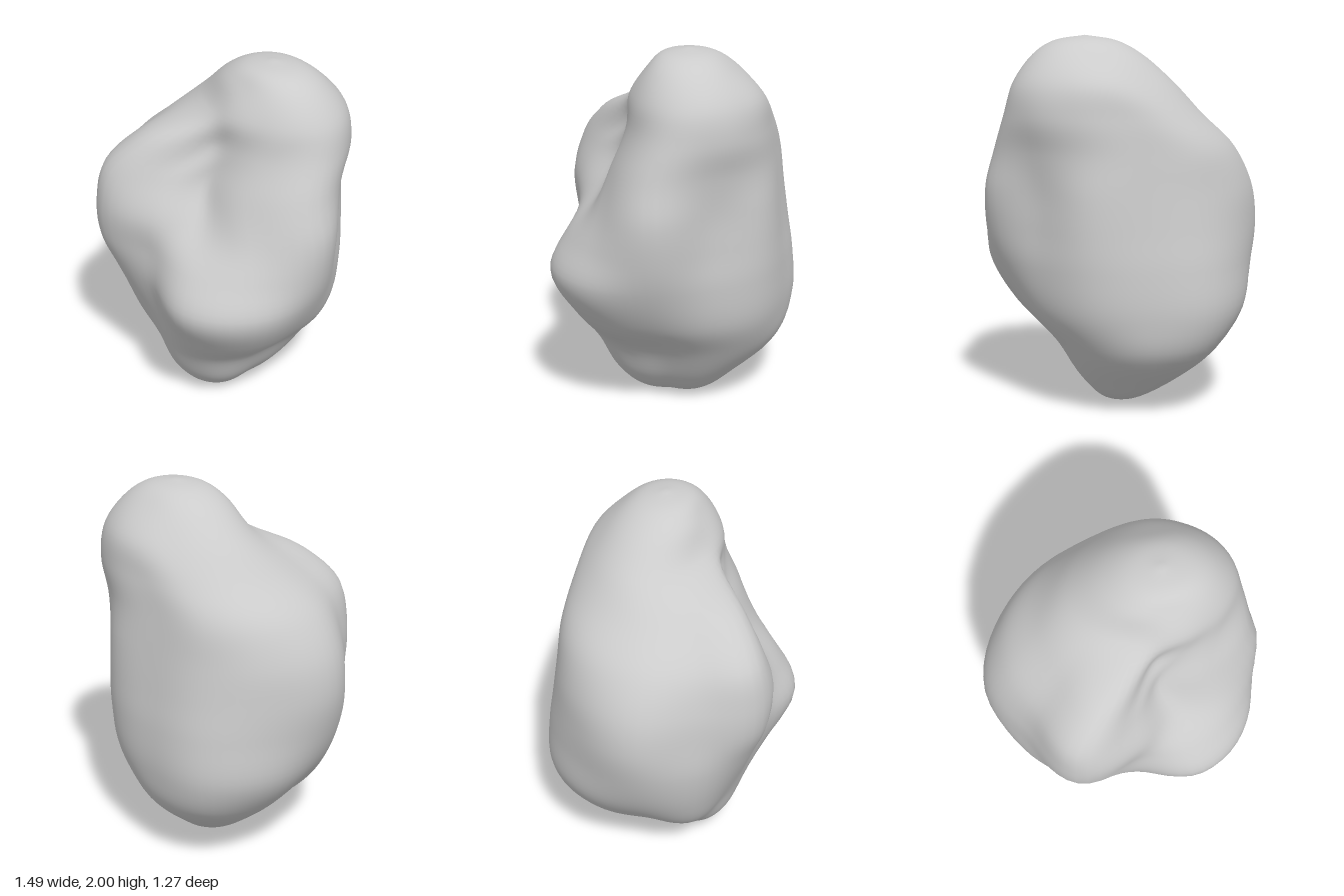
import * as THREE from 'three';

// Horizontal sections, bottom to top: height, centre, and radii at even angles
// going from +x towards the front (+z) and round the back.
const sections = [
  { y: 0.03, c: [0.01, 0], r: [0.11, 0.2, 0.09, 0.2] },
  { y: 0.15, c: [0, 0], r: [0.24, 0.32, 0.32, 0.25, 0.38, 0.33] },
  { y: 0.35, c: [0, 0], r: [0.36, 0.39, 0.43, 0.41, 0.41, 0.5, 0.48, 0.56, 0.62, 0.57, 0.5, 0.42] },
  { y: 0.55, c: [0, 0], r: [0.55, 0.6, 0.57, 0.47, 0.5, 0.6, 0.63, 0.69, 0.7, 0.62, 0.6, 0.56] },
  { y: 0.8, c: [0, 0], r: [0.68, 0.74, 0.7, 0.53, 0.61, 0.66, 0.72, 0.71, 0.69, 0.62, 0.63, 0.61] },
  { y: 1.0, c: [0, 0], r: [0.73, 0.68, 0.6, 0.53, 0.69, 0.66, 0.75, 0.71, 0.66, 0.6, 0.63, 0.61] },
  { y: 1.2, c: [0, 0], r: [0.74, 0.58, 0.42, 0.53, 0.7, 0.64, 0.72, 0.69, 0.63, 0.58, 0.62, 0.61] },
  { y: 1.4, c: [0, 0], r: [0.69, 0.48, 0.3, 0.42, 0.65, 0.57, 0.61, 0.62, 0.6, 0.56, 0.6, 0.63] },
  { y: 1.58, c: [0.1, -0.07], r: [0.55, 0.42, 0.31, 0.3, 0.57, 0.51, 0.52, 0.52, 0.5, 0.47, 0.5, 0.54] },
  { y: 1.75, c: [0.19, -0.14], r: [0.42, 0.34, 0.34, 0.44, 0.37, 0.37] },
  { y: 1.9, c: [0.21, -0.13], r: [0.29, 0.22, 0.29, 0.23] },
  { y: 1.97, c: [0.22, -0.12], r: [0.17, 0.14, 0.17, 0.14] },
];
const bottom = new THREE.Vector3(0.02, 0, 0);
const top = new THREE.Vector3(0.22, 2, -0.12);

// Smooth closed interpolation of evenly spaced radii, t in 0..1
function radiusAt(r, t) {
  const n = r.length, i = Math.floor(t * n), f = t * n - i;
  const [a, b, c, d] = [-1, 0, 1, 2].map((k) => r[(i + k + n) % n]);
  return b + 0.5 * f * (c - a + f * (2 * a - 5 * b + 4 * c - d + f * (3 * (b - c) + d - a)));
}

// Skin the sections with smooth meridians running from pole to pole
function createBoulderGeometry(around = 72, up = 78) {
  const positions = [...bottom.toArray(), ...top.toArray()];
  const index = [];
  const id = (i, j) => (j === 0 ? 0 : j === up ? 1 : 2 + (i % around) * (up - 1) + j - 1);

  for (let i = 0; i < around; i++) {
    const t = i / around, angle = t * Math.PI * 2;
    const rib = sections.map(({ y, c, r }) => {
      const radius = radiusAt(r, t);
      return new THREE.Vector3(c[0] + radius * Math.cos(angle), y, c[1] + radius * Math.sin(angle));
    });
    const curve = new THREE.CatmullRomCurve3([bottom, ...rib, top]);
    for (let j = 1; j < up; j++) positions.push(...curve.getPoint(j / up).toArray());
  }

  for (let i = 0; i < around; i++) {
    for (let j = 0; j < up; j++) {
      const a = id(i, j), b = id(i + 1, j), c = id(i, j + 1), d = id(i + 1, j + 1);
      if (j < up - 1) index.push(a, c, d);
      if (j > 0) index.push(a, d, b);
    }
  }

  const geometry = new THREE.BufferGeometry();
  geometry.setAttribute('position', new THREE.Float32BufferAttribute(positions, 3));
  geometry.setIndex(index);
  geometry.computeVertexNormals();
  return geometry;
}

export function createModel() {
  const group = new THREE.Group();
  group.name = 'rock';
  const boulder = new THREE.Mesh(
    createBoulderGeometry(),
    new THREE.MeshStandardMaterial({ color: 0xcccccc }),
  );
  boulder.name = 'boulder';
  group.add(boulder);
  return group;
}
